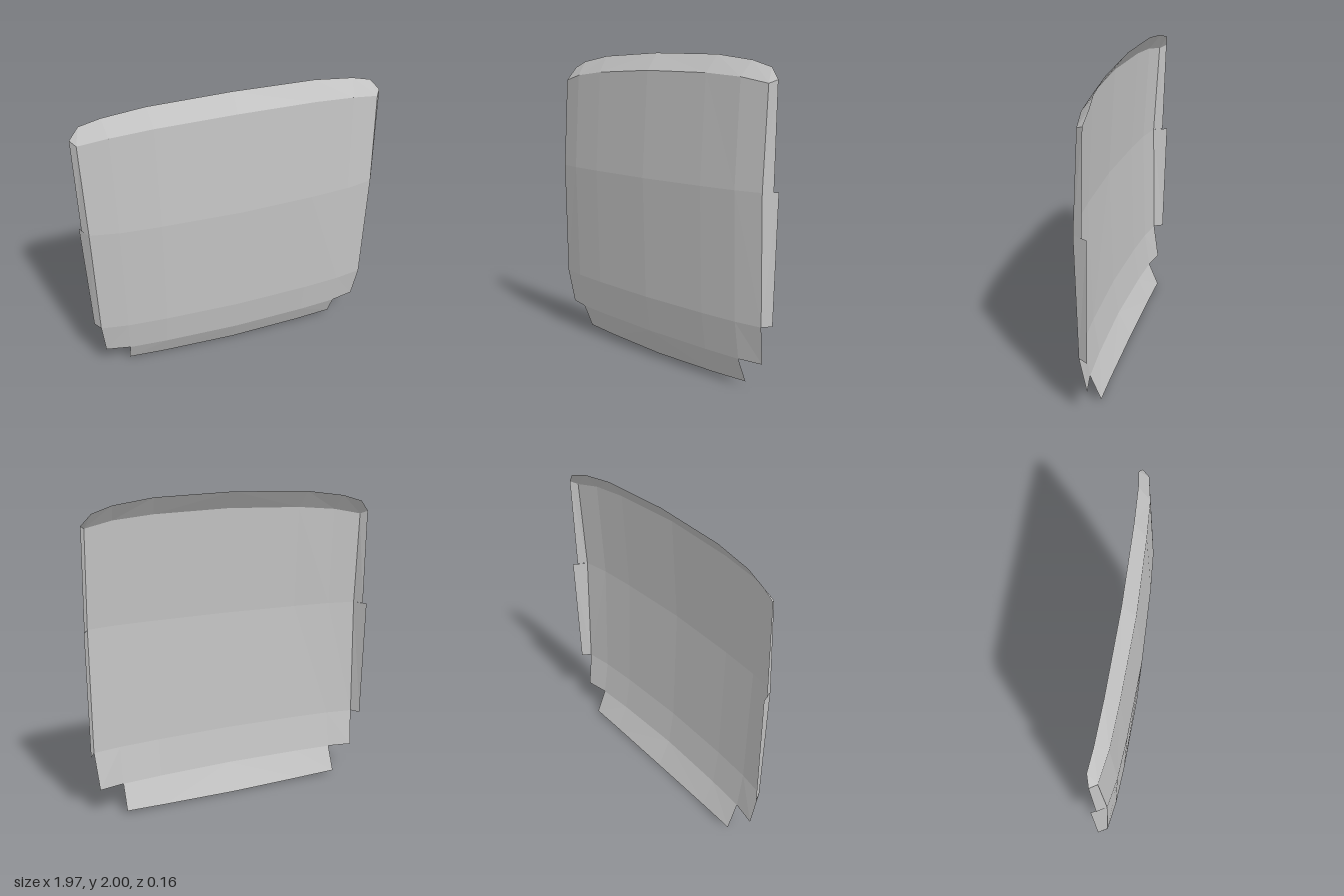
import * as THREE from 'three';

// Open surface lofted through rows of points; rows run bottom to top, points run -x to +x
function loft(rows, material, name) {
  const n = rows[0].length, index = [];
  for (let r = 0; r < rows.length - 1; r++) {
    for (let c = 0; c < n - 1; c++) {
      const a = r * n + c, b = a + 1, d = a + n, e = d + 1;
      // diagonals mirror about the middle
      if (c < (n - 1) / 2) index.push(a, b, e, a, e, d);
      else index.push(a, b, d, b, e, d);
    }
  }
  const geometry = new THREE.BufferGeometry();
  geometry.setAttribute('position', new THREE.Float32BufferAttribute(rows.flat(2), 3));
  geometry.setIndex(index);
  const flat = geometry.toNonIndexed();
  flat.computeVertexNormals();
  const mesh = new THREE.Mesh(flat, material);
  mesh.name = name;
  return mesh;
}

// Half row from the middle outwards, mirrored into a full row
const mirrorRow = (half) => [
  ...half.slice(1).reverse().map(([x, y, z]) => [-x, y, z]),
  ...half,
];

export function createModel() {
  const group = new THREE.Group();
  group.name = 'curvedPanel';
  const grey = new THREE.MeshStandardMaterial({ color: 0xc4c4c4, side: THREE.DoubleSide, flatShading: true });
  grey.name = 'panelGrey';

  // Main bowed face
  const low = [[0, 0.18, 0.02], [0.5, 0.18, 0.005], [0.76, 0.18, -0.013], [0.92, 0.18, -0.045]];
  const hem = [[0, 0.42, 0.057], [0.5, 0.42, 0.042], [0.76, 0.42, 0.024], [0.94, 0.42, -0.005]];
  const waist = [[0, 1.21, 0.082], [0.5, 1.21, 0.065], [0.76, 1.21, 0.046], [0.94, 1.21, 0.012]];
  const shoulder = [[0, 1.89, 0.04], [0.5, 1.877, 0.026], [0.76, 1.855, 0.01], [0.94, 1.82, -0.022]];
  group.add(loft([low, hem, waist, shoulder].map(mirrorRow), grey, 'mainFace'));

  // Top edge bending back
  const crest = [[0, 2, -0.042], [0.52, 1.985, -0.052], [0.78, 1.95, -0.066], [0.91, 1.91, -0.082]];
  group.add(loft([shoulder, crest].map(mirrorRow), grey, 'topLip'));

  // Narrow bottom strip bending back
  const strip = [[0, 0, -0.066], [0.5, 0.01, -0.073], [0.76, 0.02, -0.082]];
  group.add(loft([strip, low.slice(0, 3)].map(mirrorRow), grey, 'bottomStrip'));

  // Side returns: lower wide part, upper narrow part, corner fold
  const edge = [hem[3], waist[3], shoulder[3]];
  const returns = {
    lowerReturn: [[edge[0], [0.975, 0.42, -0.065]], [edge[1], [0.985, 1.21, -0.08]]],
    upperReturn: [[edge[1], [0.975, 1.21, -0.048]], [edge[2], [0.972, 1.84, -0.065]]],
    cornerFold: [[edge[2], [0.972, 1.84, -0.065]], [edge[2], crest[3]]],
  };
  for (const [name, rows] of Object.entries(returns)) {
    group.add(loft(rows, grey, name + 'Left'));
    group.add(loft(rows.map((row) => [...row].reverse().map(([x, y, z]) => [-x, y, z])), grey, name + 'Right'));
  }
  return group;
}
